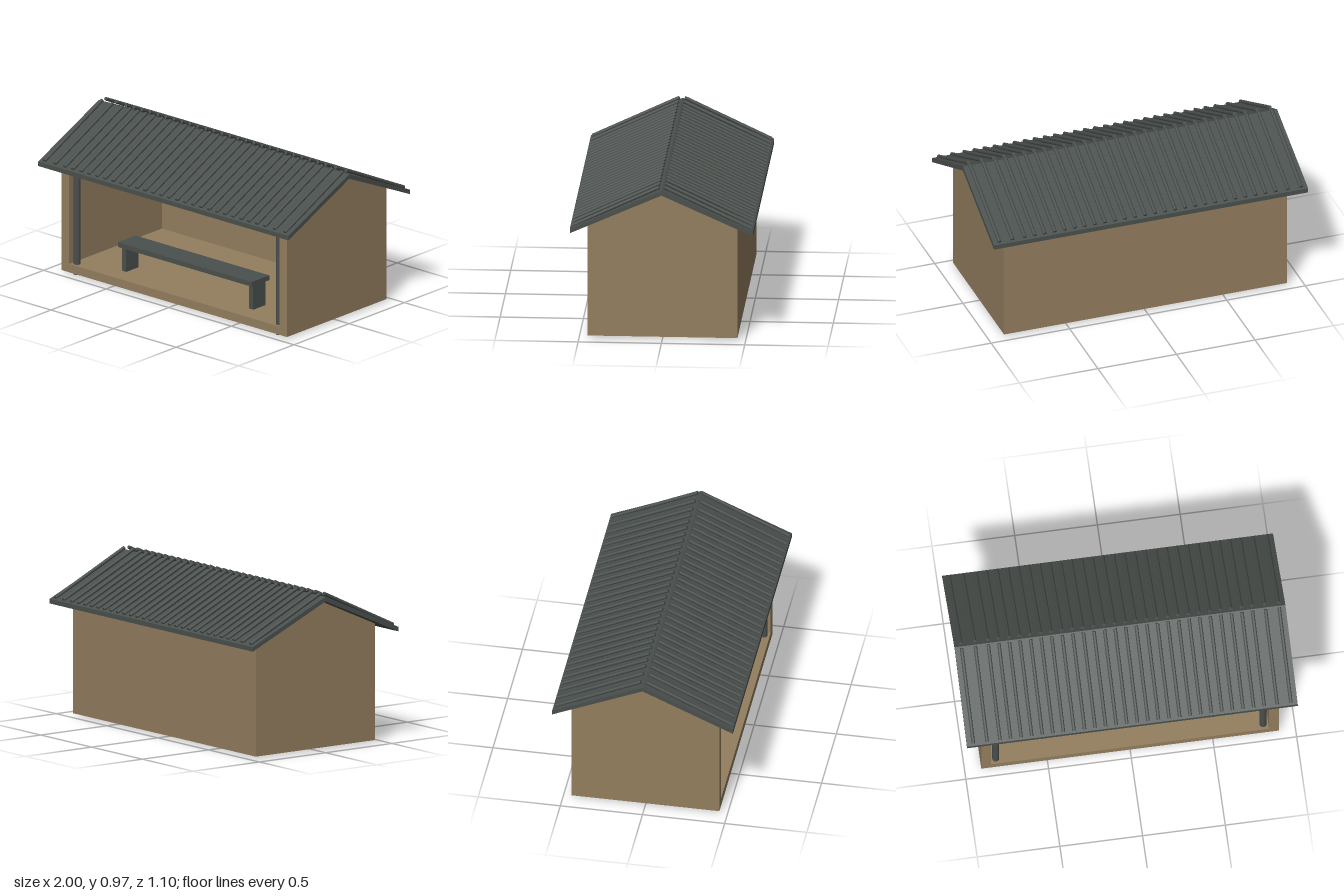
import * as THREE from 'three';

const wood = new THREE.MeshStandardMaterial({ color: 0x937e5e });
wood.name = 'tan wood';
const metal = new THREE.MeshStandardMaterial({ color: 0x4a504d });
metal.name = 'dark grey metal';

// Height of the roof underside at depth z
const underside = (z) => 0.922 - 0.445 * Math.abs(z);

export function createModel() {
  const model = new THREE.Group();
  model.name = 'shelter';

  const add = (name, geometry, material, x = 0, y = 0, z = 0) => {
    const mesh = new THREE.Mesh(geometry, material);
    mesh.name = name;
    mesh.position.set(x, y, z);
    model.add(mesh);
    return mesh;
  };

  // Box given by its lower and upper corners
  const box = (name, material, [x0, y0, z0], [x1, y1, z1]) =>
    add(name, new THREE.BoxGeometry(x1 - x0, y1 - y0, z1 - z0), material,
      (x0 + x1) / 2, (y0 + y1) / 2, (z0 + z1) / 2);

  // Outline of [z, y] points, extruded along x
  const prism = (name, material, points, width, x = 0) => {
    const shape = new THREE.Shape(points.map(([z, y]) => new THREE.Vector2(z, y)));
    const geometry = new THREE.ExtrudeGeometry(shape, { depth: width, bevelEnabled: false });
    geometry.translate(0, 0, -width / 2).rotateY(-Math.PI / 2);
    return add(name, geometry, material, x);
  };

  // Floor, back wall and gabled side walls; the front is open
  box('floor', wood, [-0.84, 0.012, -0.39], [0.84, 0.065, 0.45]);
  prism('backWall', wood, [
    [-0.45, 0.012], [-0.39, 0.012], [-0.39, underside(0.39)], [-0.45, underside(0.45)],
  ], 1.68);
  for (const side of [-1, 1]) {
    prism(side > 0 ? 'leftWall' : 'rightWall', wood, [
      [-0.45, 0.012], [0.45, 0.012], [0.45, underside(0.45)],
      [0, underside(0)], [-0.45, underside(0.45)],
    ], 0.06, side * 0.87);
  }

  // Pitched roof with vertical eave edges
  const t = 0.028;
  const eave = underside(0.55);
  prism('roof', metal, [
    [-0.55, eave], [0, underside(0)], [0.55, eave],
    [0.55, eave + t], [0, underside(0) + t], [-0.55, eave + t],
  ], 2);

  // Round ribs on both slopes, spaced wider near the ends
  const low = [0.538, 0.716];
  const high = [0.016, 0.963];
  const dz = low[0] - high[0];
  const dy = low[1] - high[1];
  const ribGeometry = new THREE.CylinderGeometry(0.011, 0.011, Math.hypot(dz, dy), 10);
  const ribXs = [0.877, 0.96];
  for (let i = 0; i < 13; i++) ribXs.push((i + 0.5) * 0.0639);
  for (const ribX of ribXs) {
    for (const side of [-1, 1]) {
      for (const slope of [-1, 1]) {
        const rib = add('roofRib', ribGeometry, metal, side * ribX,
          (low[1] + high[1]) / 2, slope * (low[0] + high[0]) / 2);
        rib.rotation.x = Math.atan2(slope * dz, dy);
      }
    }
  }

  // Front posts, with feet showing just below the floor
  const postGeometry = new THREE.CylinderGeometry(0.021, 0.021, 0.74, 12);
  for (const side of [-1, 1]) add('post', postGeometry, metal, side * 0.808, 0.37, 0.415);

  // Bench
  box('benchSeat', metal, [-0.535, 0.22, 0.195], [0.535, 0.25, 0.355]);
  for (const x of [-0.525, 0.49]) {
    box('benchLeg', metal, [x, 0.065, 0.22], [x + 0.035, 0.22, 0.33]);
  }

  return model;
}
